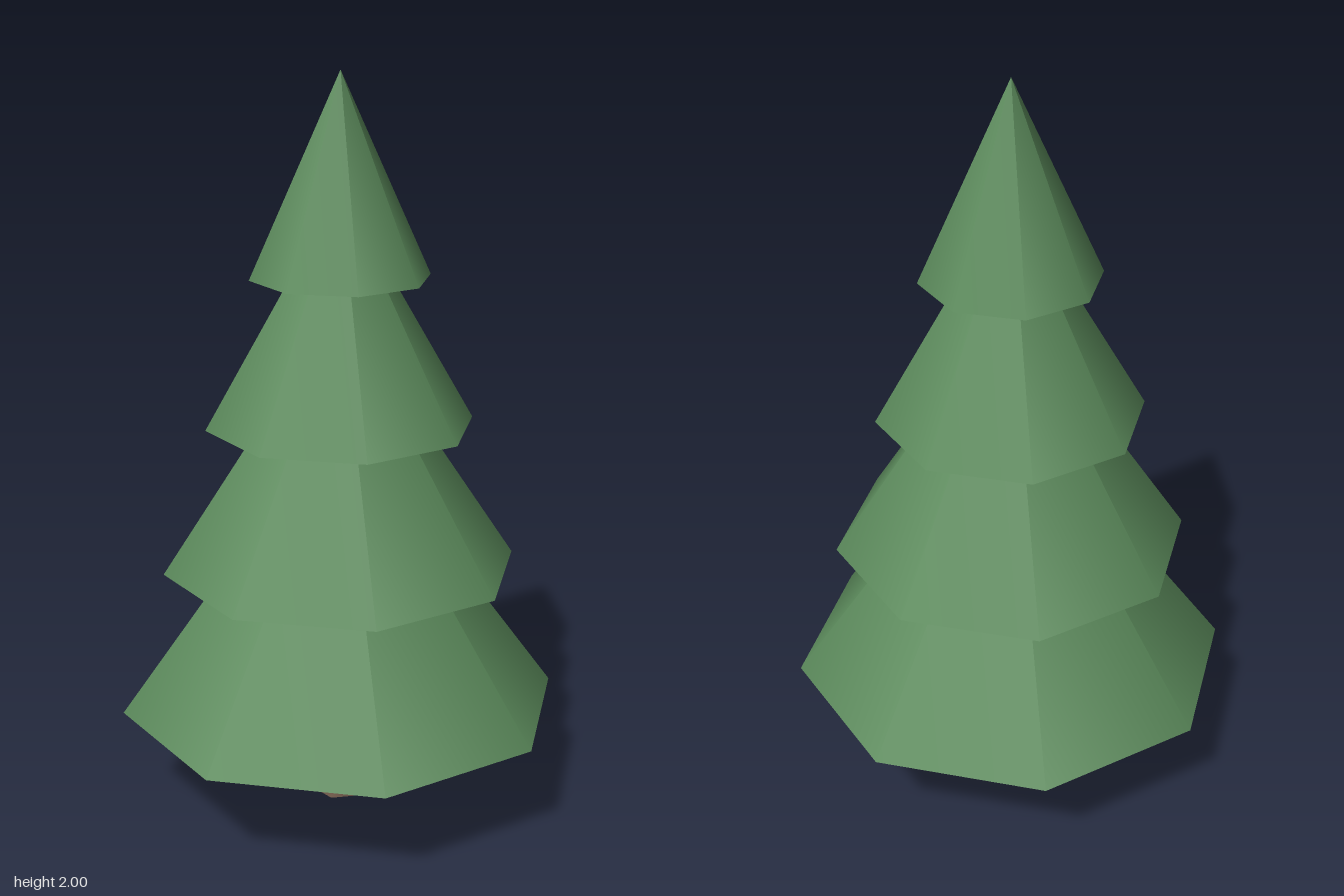
import * as THREE from 'three';

export function createModel() {
  const group = new THREE.Group();
  const needles = new THREE.MeshStandardMaterial({ color: 0x5b8a5b, side: THREE.DoubleSide });
  needles.name = 'needleGreen';
  const bark = new THREE.MeshStandardMaterial({ color: 0x7a6151 });
  bark.name = 'barkBrown';

  // Tapered six-sided trunk, reaching up inside the lowest tier
  const trunkHeight = 0.8;
  const trunk = new THREE.Mesh(
    new THREE.CylinderGeometry(0.048, 0.078, trunkHeight, 6, 1, false, Math.PI / 2), bark);
  trunk.name = 'trunk';
  trunk.position.y = trunkHeight / 2;
  group.add(trunk);

  // Four hollow eight-sided tiers, smaller and steeper towards the top
  for (let i = 0; i < 4; i++) {
    const radius = 0.604 - i * 0.1212;
    const height = 0.83 - i * 0.1;
    const base = 0.281 + i * 0.3965;
    const tier = new THREE.Mesh(new THREE.ConeGeometry(radius, height, 8, 1, true), needles);
    tier.name = `foliageTier${i + 1}`;
    tier.position.y = base + height / 2;
    group.add(tier);
  }
  return group;
}
